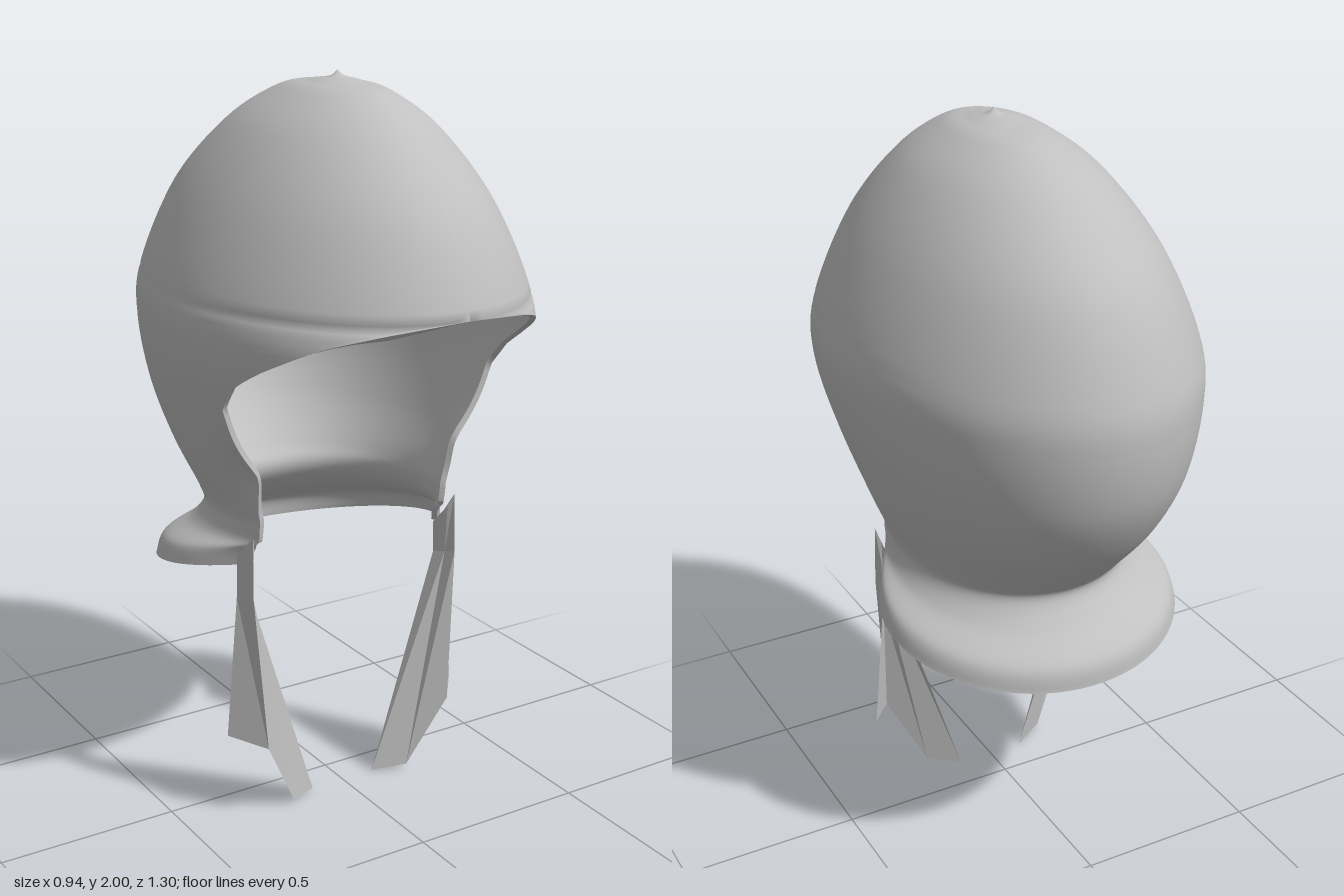
import * as THREE from 'three';

const steel = new THREE.MeshStandardMaterial({ color: 0xc0c0c0, side: THREE.DoubleSide });
steel.name = 'plain grey';

// Horizontal sections, crown to hem: y at back, half width, front z, back z, centre z, slope
const SECTIONS = [
  [2.0, 0.0005, 0.0605, 0.0595, 0.06, 0],
  [1.985, 0.02, 0.08, 0.04, 0.06, 0],
  [1.974, 0.06, 0.14, -0.03, 0.055, 0],
  [1.95, 0.125, 0.25, -0.16, 0.05, 0],
  [1.86, 0.24, 0.39, -0.33, 0.04, 0],
  [1.69, 0.36, 0.55, -0.52, 0.03, 0],
  [1.47, 0.456, 0.65, -0.625, 0.03, 0],
  [1.33, 0.466, 0.66, -0.645, 0.03, 0],
  [1.155, 0.43, 0.55, -0.615, 0, 0],
  [1.0, 0.382, 0.32, -0.53, 0, 0],
  [0.865, 0.33, 0.38, -0.41, 0, 0.03],
  [0.81, 0.325, 0.38, -0.366, 0, 0.06],
  [0.74, 0.345, 0.34, -0.41, -0.05, 0.12],
  [0.67, 0.4, 0.25, -0.49, -0.12, 0.18],
  [0.605, 0.42, 0.21, -0.505, -0.13, 0.21],
];
// Face opening: z of the edge at each height
const OPENING = [
  [1.47, 0.65], [1.41, 0.5], [1.33, 0.35], [1.27, 0.25], [1.2, 0.19],
  [1.0, 0.18], [0.88, 0.16], [0.74, 0.15], [0.67, 0.13], [0.605, 0.1],
];
const STEPS = 8, COLS = 80, THICK = 0.016, BROW = 1.47;

function openingZ(y) {
  for (let i = 1; i < OPENING.length; i++) {
    const [y0, z0] = OPENING[i - 1], [y1, z1] = OPENING[i];
    if (y >= y1) return z0 + (z1 - z0) * (y0 - y) / (y0 - y1);
  }
  return OPENING[OPENING.length - 1][1];
}

// Catmull-Rom between neighbouring sections
function sectionAt(k, t) {
  const at = i => SECTIONS[Math.min(Math.max(i, 0), SECTIONS.length - 1)];
  return SECTIONS[k].map((p1, n) => {
    const p0 = at(k - 1)[n], p2 = at(k + 1)[n], p3 = at(k + 2)[n];
    return p1 + 0.5 * t * (p2 - p0 + t * (2 * p0 - 5 * p1 + 4 * p2 - p3 + t * (3 * (p1 - p2) + p3 - p0)));
  });
}

function build(positions, indices) {
  const g = new THREE.BufferGeometry();
  g.setAttribute('position', new THREE.Float32BufferAttribute(positions, 3));
  g.setIndex(indices);
  g.computeVertexNormals();
  return g;
}

function part(name, geometry) {
  const m = new THREE.Mesh(geometry, steel);
  m.name = name;
  return m;
}

function helmetShell() {
  const group = new THREE.Group();
  group.name = 'helmet';
  const pos = [], idx = [], closed = [];
  const rows = (SECTIONS.length - 1) * STEPS + 1;
  for (let i = 0; i < rows; i++) {
    const k = Math.min(Math.floor(i / STEPS), SECTIONS.length - 2);
    const [y, w, zf, zb, c, slope] = sectionAt(k, i / STEPS - k);
    closed.push(y >= BROW - 1e-6);
    const ratio = closed[i] ? 1 : Math.min(1, (openingZ(y) - c) / (zf - c));
    const span = Math.PI - Math.acos(ratio);
    for (let j = 0; j <= COLS; j++) {
      const a = (j / COLS * 2 - 1) * span, cos = Math.cos(a);
      const z = c - cos * (cos > 0 ? c - zb : zf - c);
      pos.push(w * Math.sin(a), y + slope * (z - zb), z);
    }
  }
  const id = (i, j) => i * (COLS + 1) + j;
  for (let i = 0; i < rows - 1; i++) {
    for (let j = 0; j < COLS; j++) {
      const a = id(i, j), b = id(i + 1, j);
      idx.push(a, a + 1, b + 1, a, b + 1, b);
    }
  }
  const outer = build(pos, idx);

  // Smooth the normals over the front seam of the closed crown
  const N = outer.attributes.normal, v = new THREE.Vector3();
  for (let i = 0; i < rows; i++) {
    if (!closed[i]) continue;
    for (const j of [0, COLS]) {
      v.fromBufferAttribute(N, id(i, j)).setX(0).normalize();
      N.setXYZ(id(i, j), v.x, v.y, v.z);
    }
  }
  group.add(part('outerShell', outer));

  // Lining: the shell moved inward, facing the other way
  const inPos = pos.map((p, n) => p - N.array[n] * THICK);
  const inIdx = [];
  for (let n = 0; n < idx.length; n += 3) inIdx.push(idx[n], idx[n + 2], idx[n + 1]);
  group.add(part('lining', build(inPos, inIdx)));

  // Rim joining shell and lining round the opening and the hem
  const edge = [], rimPos = [], rimIdx = [];
  const first = closed.lastIndexOf(true);
  for (let i = first; i < rows; i++) edge.push(id(i, 0));
  for (let j = 1; j < COLS; j++) edge.push(id(rows - 1, j));
  for (let i = rows - 1; i >= first; i--) edge.push(id(i, COLS));
  edge.forEach((e, n) => {
    rimPos.push(...pos.slice(e * 3, e * 3 + 3), ...inPos.slice(e * 3, e * 3 + 3));
    if (n) rimIdx.push(2 * n - 2, 2 * n, 2 * n + 1, 2 * n - 2, 2 * n + 1, 2 * n - 1);
  });
  group.add(part('rim', build(rimPos, rimIdx)));
  return group;
}

// Folded fan-shaped cheek strap, outer edge to inner edge in three rows
function strapGeometry() {
  const rows = [
    [0.335, 0.76, 0.1, 0.322, 0.83, 0.165, 0.31, 0.79, 0.15, 0.3, 0.73, 0.095],
    [0.335, 0.64, 0.095, 0.325, 0.66, 0.168, 0.314, 0.65, 0.135, 0.303, 0.64, 0.095],
    [0.37, 0.24, 0.095, 0.295, 0.22, 0.188, 0.19, 0.015, 0.14, 0.1, 0, 0.095],
  ];
  const idx = [];
  for (let i = 0; i < 2; i++) {
    for (let j = 0; j < 3; j++) {
      const a = i * 4 + j, b = a + 4;
      idx.push(a, a + 1, b + 1, a, b + 1, b);
    }
  }
  const g = build(rows.flat(), idx).toNonIndexed();
  g.computeVertexNormals();
  return g;
}

export function createModel() {
  const model = new THREE.Group();
  model.name = 'openFacedHelmet';
  model.add(helmetShell());
  const strap = strapGeometry();
  for (const side of [1, -1]) {
    const m = part(side > 0 ? 'leftStrap' : 'rightStrap', strap);
    m.scale.x = side;
    model.add(m);
  }
  return model;
}
